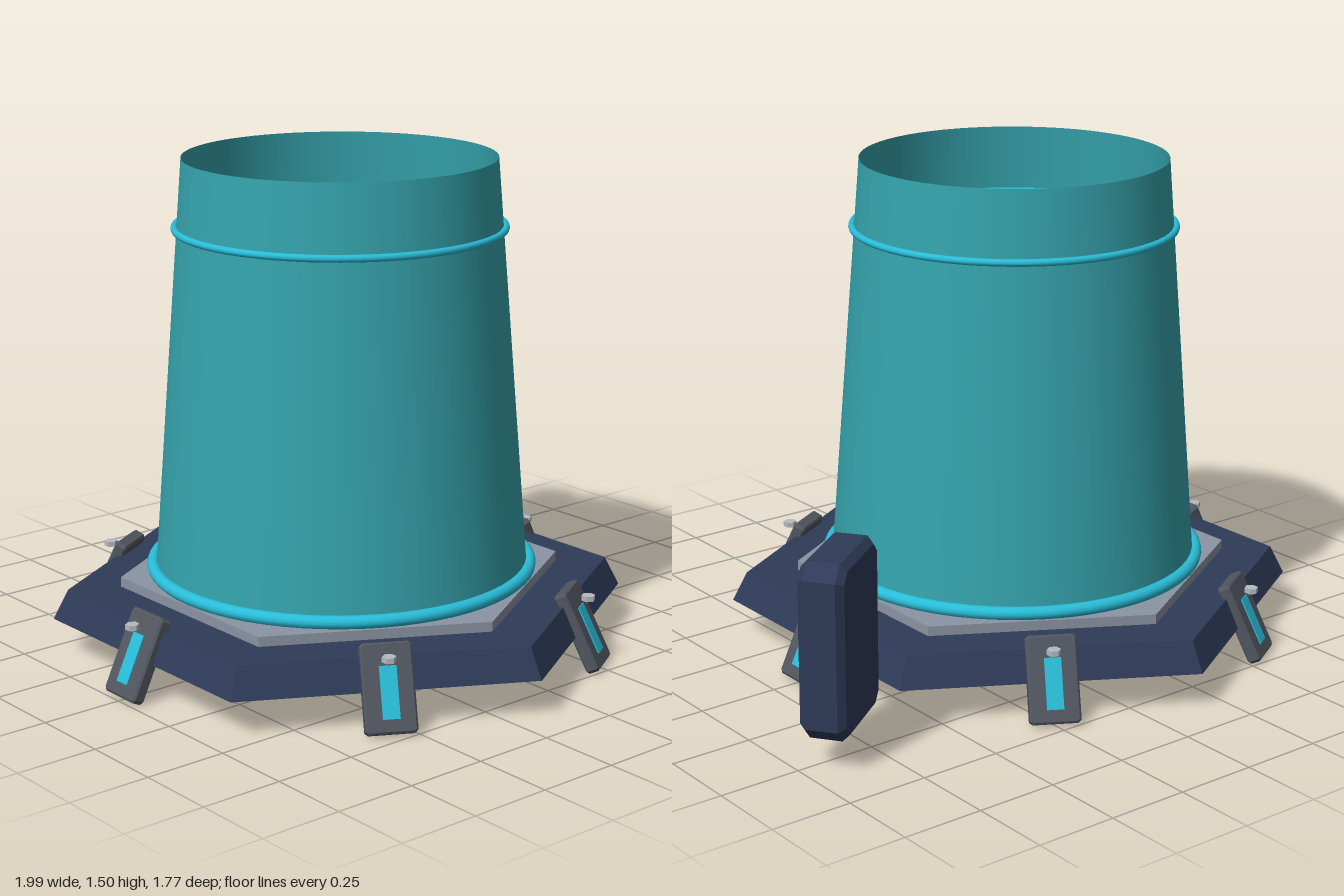
import * as THREE from 'three';

const mat = (color, flat = false, side = THREE.FrontSide) =>
  new THREE.MeshStandardMaterial({ color, flatShading: flat, side });

const navy = mat(0x2e3a58, true);
const grey = mat(0x8b94a3, true);
const darkGrey = mat(0x50555f, true);
const bolt = mat(0xb4bac2, true);
const cyan = mat(0x29bdd8);
const teal = mat(0x35a3ac, false, THREE.DoubleSide);

function add(parent, name, geometry, material, x = 0, y = 0, z = 0) {
  const mesh = new THREE.Mesh(geometry, material);
  mesh.name = name;
  mesh.position.set(x, y, z);
  parent.add(mesh);
  return mesh;
}

// Box with cut corners (corner) and bevelled front and back edges (bevel), centred
function chamferBox(w, h, d, corner, bevel) {
  const a = w / 2 - bevel, b = h / 2 - bevel, c = corner;
  const shape = new THREE.Shape([
    [a, c - b], [a, b - c], [a - c, b], [c - a, b],
    [-a, b - c], [-a, c - b], [c - a, -b], [a - c, -b],
  ].map(([x, y]) => new THREE.Vector2(x, y)));
  const geometry = new THREE.ExtrudeGeometry(shape, {
    depth: d - 2 * bevel, bevelEnabled: true,
    bevelSize: bevel, bevelThickness: bevel, bevelSegments: 1,
  });
  return geometry.translate(0, 0, bevel - d / 2);
}

// Tilted clamp with a light strip and a bolt, pointing along +x
function clamp() {
  const group = new THREE.Group();
  group.name = 'clamp';
  const leg = new THREE.Group();
  leg.name = 'clampLeg';
  leg.position.set(0.768, 0.13, 0);
  leg.rotation.z = THREE.MathUtils.degToRad(25.5);
  group.add(leg);
  add(leg, 'clampPlate', chamferBox(0.15, 0.257, 0.04, 0.006, 0.006).rotateY(Math.PI / 2), darkGrey);
  add(leg, 'clampLight', new THREE.BoxGeometry(0.012, 0.15, 0.05), cyan, 0.018, -0.013, 0);
  add(group, 'clampBolt', new THREE.CylinderGeometry(0.021, 0.021, 0.016, 6), bolt, 0.784, 0.223, 0);
  return group;
}

export function createModel() {
  const model = new THREE.Group();
  model.name = 'projector';

  const base = new THREE.Group();
  base.name = 'base';
  base.position.x = -0.16;
  model.add(base);

  // Hexagonal platform and raised deck
  add(base, 'platform', new THREE.CylinderGeometry(0.84, 0.886, 0.09, 6), navy, 0, 0.165, 0);
  add(base, 'deck', new THREE.CylinderGeometry(0.68, 0.68, 0.03, 6), grey, 0, 0.225, 0);

  // Round emitter in the middle of the deck
  const emitter = [[0, 0], [0.21, 0], [0.21, 0.025], [0.205, 0.038], [0.19, 0.045], [0, 0.045]]
    .map(([x, y]) => new THREE.Vector2(x, y));
  add(base, 'emitter', new THREE.LatheGeometry(emitter, 48), cyan, 0, 0.24, 0);

  // Open tapering beam with its two rings
  add(base, 'beam', new THREE.CylinderGeometry(0.47, 0.57, 1.27, 64, 1, true), teal, 0, 0.875, 0);
  add(base, 'lowerRing', new THREE.TorusGeometry(0.577, 0.02, 12, 64).rotateX(Math.PI / 2), cyan, 0, 0.26, 0);
  add(base, 'upperRing', new THREE.TorusGeometry(0.493, 0.011, 10, 64).rotateX(Math.PI / 2), cyan, 0, 1.3, 0);

  // One clamp on each side of the platform
  for (let i = 0; i < 6; i++) {
    const c = clamp();
    c.rotation.y = (i * Math.PI) / 3;
    base.add(c);
  }

  // Separate console block standing behind on the left
  const block = add(model, 'console', chamferBox(0.32, 0.52, 0.135, 0.03, 0.02), navy, 0.838, 0.36, -0.475);
  block.rotation.y = THREE.MathUtils.degToRad(36);

  return model;
}
